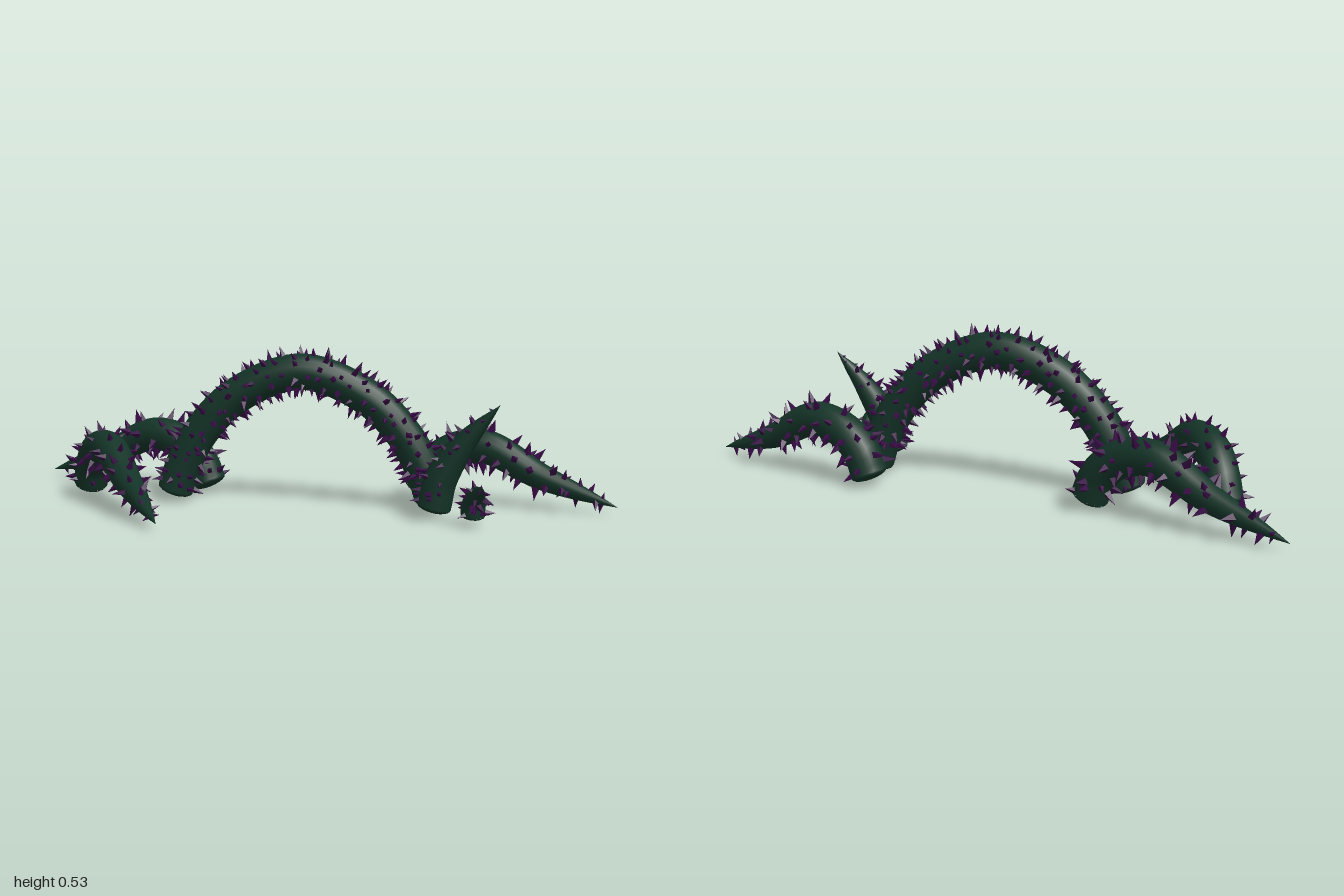
import * as THREE from 'three';
import { mergeGeometries } from 'three/addons/utils/BufferGeometryUtils.js';

const SIDES = 16;
const vineMaterial = new THREE.MeshStandardMaterial({ color: 0x143428 });
const thornMaterial = new THREE.MeshStandardMaterial({ color: 0x380b45, flatShading: true });

let seed = 7;
const random = () => {
  seed = (seed * 16807) % 2147483647;
  return seed / 2147483647;
};
const jitter = (amount) => (random() - 0.5) * 2 * amount;

// Vines: path points from root to tip, root radius, taper power (higher stays thick longer),
// thorn size and spacing, and optionally a direction whose side stays free of thorns
const VINES = [
  { name: 'archVine', radius: 0.06, taper: 0, thorn: 0.039, spacing: 0.042, points: [
    [-0.45, 0.055, -0.062], [-0.425, 0.13, -0.062], [-0.36, 0.25, -0.062], [-0.235, 0.375, -0.062],
    [-0.02, 0.455, -0.062], [0.195, 0.375, -0.062], [0.32, 0.25, -0.062], [0.385, 0.13, -0.062],
    [0.41, 0.055, -0.062]] },
  { name: 'leftBackVine', radius: 0.06, taper: 3, thorn: 0.046, spacing: 0.054, points: [
    [0.365, 0.055, -0.218], [0.395, 0.125, -0.21], [0.47, 0.185, -0.19], [0.58, 0.205, -0.16],
    [0.76, 0.12, -0.108], [1, 0.04, -0.04]] },
  { name: 'rightBackVine', radius: 0.06, taper: 3, thorn: 0.046, spacing: 0.054, points: [
    [-0.37, 0.055, -0.203], [-0.4, 0.125, -0.212], [-0.47, 0.185, -0.232], [-0.58, 0.205, -0.268],
    [-0.76, 0.12, -0.33], [-1, 0.04, -0.412]] },
  { name: 'rightFrontVine', radius: 0.058, taper: 3.2, thorn: 0.04, spacing: 0.054, points: [
    [-0.77, 0.055, -0.135], [-0.75, 0.125, -0.105], [-0.71, 0.185, -0.04], [-0.645, 0.2, 0.04],
    [-0.54, 0.122, 0.19], [-0.39, 0.04, 0.415]] },
  { name: 'raisedVine', radius: 0.055, taper: 2.1, thorn: 0.036, spacing: 0.04, bare: [0.9, -0.4, 0], points: [
    [0.425, 0.055, 0.1], [0.445, 0.14, 0.1], [0.515, 0.255, 0.1], [0.625, 0.378, 0.1]] },
  { name: 'sproutVine', radius: 0.038, taper: 2.4, thorn: 0.036, spacing: 0.03, points: [
    [0.55, 0.05, 0.185], [0.552, 0.085, 0.19], [0.56, 0.115, 0.21], [0.58, 0.145, 0.25]] },
];

// Rings swept along the curve, with a shallow dome wherever an end has width
function sweep(curve, radiusAt, segments) {
  const geometry = new THREE.TubeGeometry(curve, segments, 1, SIDES, false);
  const position = geometry.attributes.position;
  const v = new THREE.Vector3();
  for (let i = 0; i <= segments; i++) {
    const centre = curve.getPointAt(i / segments);
    for (let j = 0; j <= SIDES; j++) {
      const k = i * (SIDES + 1) + j;
      v.fromBufferAttribute(position, k).sub(centre).multiplyScalar(radiusAt(i / segments)).add(centre);
      position.setXYZ(k, v.x, v.y, v.z);
    }
  }
  const parts = [geometry];
  for (const t of [0, 1]) {
    const r = radiusAt(t);
    if (r < 0.01) continue;
    const dome = new THREE.SphereGeometry(r, SIDES, 5, 0, Math.PI * 2, 0, Math.PI / 2);
    const out = curve.getTangentAt(t).multiplyScalar(t ? 1 : -1);
    dome.scale(1, 0.35, 1);
    dome.applyQuaternion(new THREE.Quaternion().setFromUnitVectors(new THREE.Vector3(0, 1, 0), out));
    const p = curve.getPointAt(t);
    parts.push(dome.translate(p.x, p.y, p.z));
  }
  return mergeGeometries(parts);
}

// Thorns in staggered, jittered rows around the curve
function thorns(curve, radiusAt, size, spacing, bare) {
  const rows = Math.round(curve.getLength() / spacing);
  const frames = curve.computeFrenetFrames(200, false);
  const up = new THREE.Vector3(0, 1, 0);
  const bareSide = new THREE.Vector3(...bare);
  const parts = [];
  for (let i = 0; i < rows; i++) {
    const ringRadius = radiusAt((i + 0.5) / rows);
    const count = Math.max(2, Math.round((ringRadius * Math.PI * 2) / spacing));
    for (let j = 0; j < count; j++) {
      const t = THREE.MathUtils.clamp((i + 0.5 + jitter(0.45)) / rows, 0, 0.93);
      const angle = ((j + (i % 2) / 2 + jitter(0.3)) / count) * Math.PI * 2;
      const f = Math.round(t * 200);
      const normal = frames.normals[f].clone().multiplyScalar(Math.cos(angle))
        .addScaledVector(frames.binormals[f], Math.sin(angle));
      const base = curve.getPointAt(t).addScaledVector(normal, radiusAt(t) - 0.007);
      const direction = normal.addScaledVector(frames.tangents[f], jitter(0.35)).normalize();
      const length = size * (0.8 + random() * 0.35) * (0.5 + 0.5 * Math.min(1, radiusAt(t) / 0.03));
      if (base.y + direction.y * length < 0 || direction.dot(bareSide) > 0.15) continue;
      const cone = new THREE.ConeGeometry(length * 0.31, length, 4, 1, true);
      cone.translate(0, length / 2, 0).rotateY(random() * Math.PI);
      cone.applyQuaternion(new THREE.Quaternion().setFromUnitVectors(up, direction));
      parts.push(cone.translate(base.x, base.y, base.z));
    }
  }
  return mergeGeometries(parts);
}

export function createModel() {
  const model = new THREE.Group();
  model.name = 'thornyVines';
  for (const { name, radius, taper, thorn, spacing, bare = [0, 0, 0], points } of VINES) {
    const curve = new THREE.CatmullRomCurve3(points.map((p) => new THREE.Vector3(...p)));
    const radiusAt = (t) => (taper ? radius * Math.max(0.01, 1 - t ** taper) : radius);
    const vine = new THREE.Group();
    vine.name = name;
    const stem = new THREE.Mesh(sweep(curve, radiusAt, taper ? 32 : 64), vineMaterial);
    stem.name = 'stem';
    const spikes = new THREE.Mesh(thorns(curve, radiusAt, thorn, spacing, bare), thornMaterial);
    spikes.name = 'thorns';
    vine.add(stem, spikes);
    model.add(vine);
  }
  return model;
}
